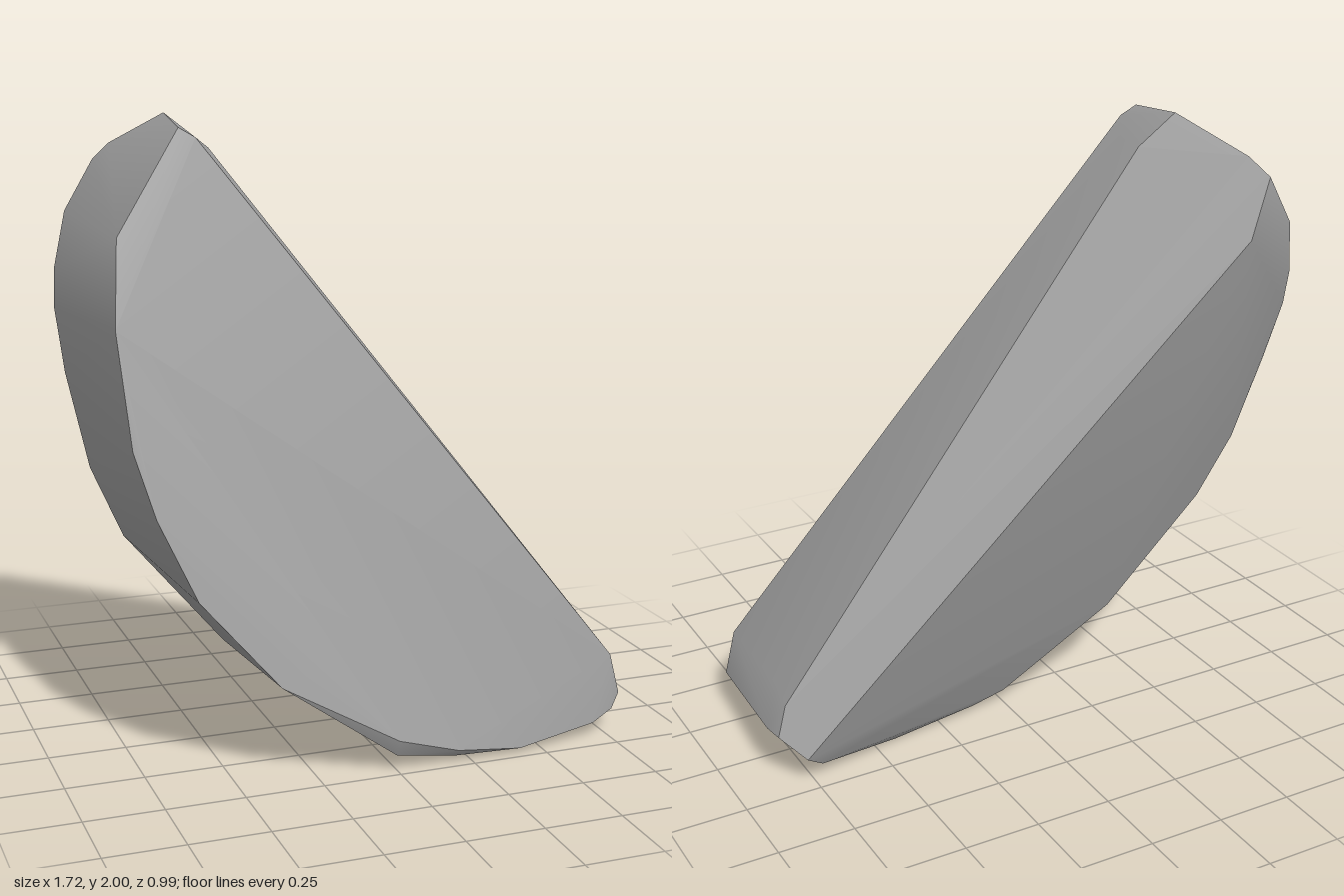
import * as THREE from 'three';
import { ConvexGeometry } from 'three/addons/geometries/ConvexGeometry.js';
import { toCreasedNormals } from 'three/addons/utils/BufferGeometryUtils.js';

const stone = new THREE.MeshStandardMaterial({ color: 0xa0a0a0 });
stone.name = 'grey stone';

// Rim of the broad front face, from the peak down the curved side to the tip
const frontRim = [
  [-0.55, 1.97, 0.05], [-0.77, 1.66, 0.15], [-0.80, 1.40, 0.235], [-0.775, 1.05, 0.31],
  [-0.72, 0.85, 0.36], [-0.61, 0.60, 0.41], [-0.37, 0.32, 0.46], [0, 0.11, 0.49],
  [0.20, 0.05, 0.487], [0.42, 0.02, 0.47], [0.70, 0.05, 0.425], [0.78, 0.08, 0.40],
  [0.82, 0.12, 0.37], [0.78, 0.26, 0.38], [-0.50, 1.94, 0.06],
];

// Rim of the back face, from the shoulder down the curved side to the tip
const backRim = [
  [-0.62, 1.66, -0.50], [-0.80, 1.68, -0.45], [-0.85, 1.50, -0.40], [-0.86, 1.38, -0.365],
  [-0.845, 1.18, -0.30], [-0.79, 0.88, -0.225], [-0.70, 0.66, -0.17], [-0.39, 0.29, -0.11],
  [0, 0.05, -0.08], [0.12, 0.03, -0.09], [0.42, 0.005, -0.11], [0.60, 0.03, -0.155],
  [0.72, 0.055, -0.20], [0.78, 0.10, -0.225],
];

// Worn lower edge of the curved side
const lowerEdge = [[0, 0.055, 0.47], [0.2, 0.025, 0.465], [0.42, 0.012, 0.45]];

// Bevelled peak and shoulder
const peak = [
  [-0.53, 2.00, -0.20], [-0.66, 1.895, -0.41], [-0.70, 1.84, -0.47],
  [-0.42, 1.90, -0.17], [-0.43, 1.90, -0.05],
];

// Bevelled tip at the foot of the slanted cut
const tip = [
  [0.80, 0.28, -0.05], [0.81, 0.255, -0.13], [0.855, 0.16, -0.08], [0.845, 0.16, -0.15],
];

export function createModel() {
  const group = new THREE.Group();
  group.name = 'rock';
  const points = [...frontRim, ...backRim, ...lowerEdge, ...peak, ...tip]
    .map((p) => new THREE.Vector3(...p));
  // Soft shading over the chipped bevels, crisp rims
  const geometry = toCreasedNormals(new ConvexGeometry(points), 0.5);
  const boulder = new THREE.Mesh(geometry, stone);
  boulder.name = 'boulder';
  group.add(boulder);
  return group;
}
